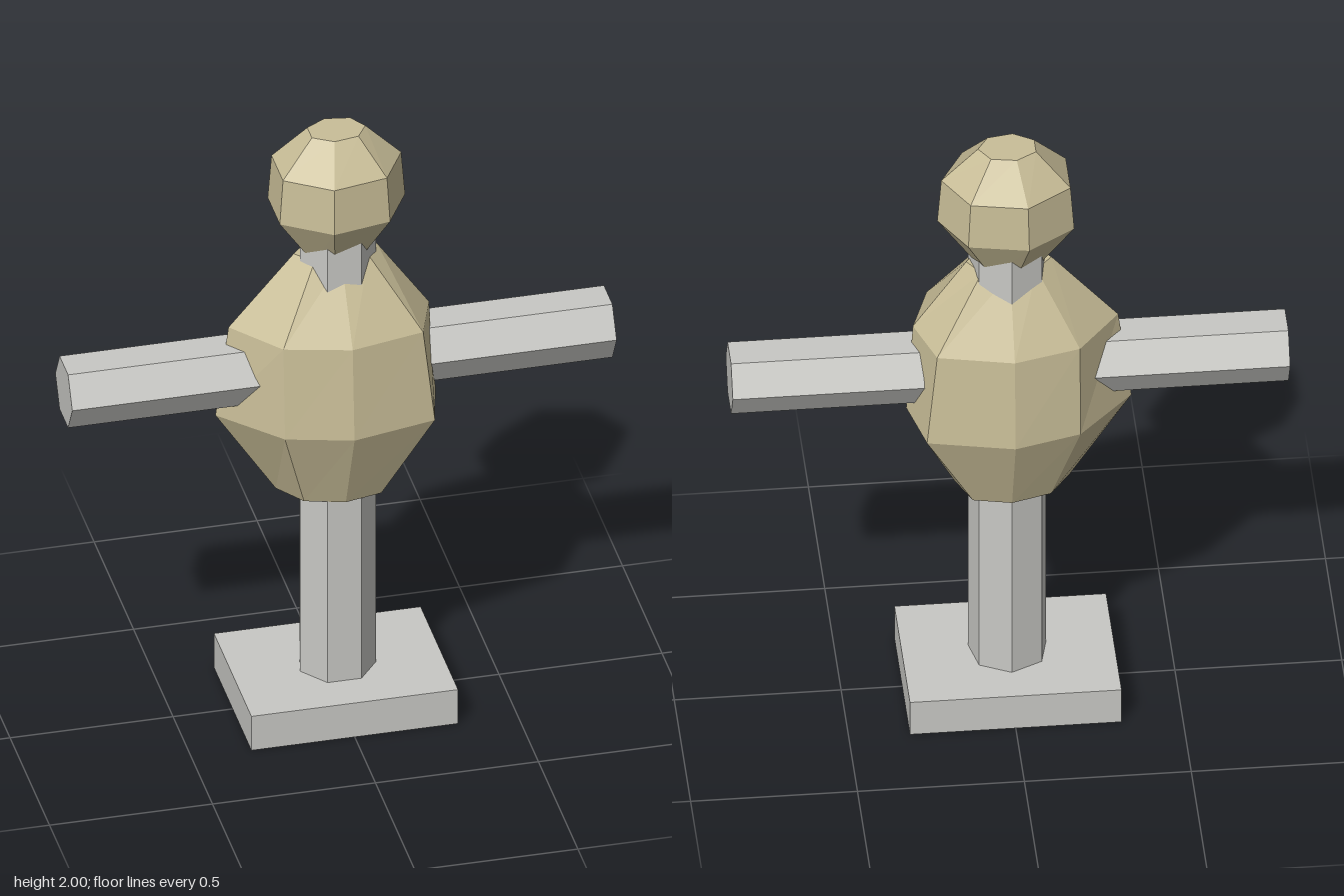
import * as THREE from 'three';

// Faceted solid through stacked rings; each ring is { y, pts: [[x, z], ...] } turning from +x to +z.
function loft(rings) {
  const pos = [];
  const n = rings[0].pts.length;
  const at = (r, i) => [r.pts[i % n][0], r.y, r.pts[i % n][1]];
  const tri = (a, b, c) => pos.push(...a, ...b, ...c);
  for (let k = 0; k < rings.length - 1; k++) {
    for (let i = 0; i < n; i++) {
      const a = at(rings[k], i), b = at(rings[k], i + 1);
      const c = at(rings[k + 1], i), d = at(rings[k + 1], i + 1);
      tri(a, c, b);
      tri(b, c, d);
    }
  }
  const bottom = rings[0], top = rings[rings.length - 1];
  for (let i = 1; i < n - 1; i++) {
    tri(at(bottom, 0), at(bottom, i), at(bottom, i + 1));
    tri(at(top, 0), at(top, i + 1), at(top, i));
  }
  const g = new THREE.BufferGeometry();
  g.setAttribute('position', new THREE.Float32BufferAttribute(pos, 3));
  g.computeVertexNormals();
  return g;
}

// Eight-sided ring from its half outline, mirrored front to back.
function mirroredRing(y, half) {
  const back = half.slice(1, -1).reverse().map(([x, z]) => [x, -z]);
  return { y, pts: [...half, ...back] };
}

// Seven-sided ring with one corner on +x.
function sevenRing(y, rx, rz) {
  const pts = [];
  for (let i = 0; i < 7; i++) {
    const a = (i / 7) * Math.PI * 2;
    pts.push([Math.cos(a) * rx, Math.sin(a) * rz]);
  }
  return { y, pts };
}

export function createModel() {
  const group = new THREE.Group();
  const straw = new THREE.MeshStandardMaterial({ color: 0xc9be98 });
  const grey = new THREE.MeshStandardMaterial({ color: 0xc8c8c4 });
  straw.name = 'straw';
  grey.name = 'paleGrey';
  straw.flatShading = grey.flatShading = true;

  const add = (name, geometry, material, x = 0, y = 0, z = 0) => {
    const mesh = new THREE.Mesh(geometry, material);
    mesh.name = name;
    mesh.position.set(x, y, z);
    group.add(mesh);
    return mesh;
  };

  // Base slab and seven-sided post
  add('base', new THREE.BoxGeometry(0.634, 0.12, 0.475), grey, 0, 0.06, 0);
  add('post', new THREE.CylinderGeometry(0.12, 0.12, 1.58, 7, 1, false, Math.PI), grey, 0, 0.89, 0);

  // Six-sided crossbar forming both arms
  const bar = new THREE.CylinderGeometry(0.108, 0.108, 1.67, 6);
  bar.rotateZ(Math.PI / 2);
  add('crossbar', bar, grey, 0, 1.197, 0);

  // Stuffed body, swollen to the right side
  add('body', loft([
    mirroredRing(0.76, [[0.16, 0], [0.115, 0.1], [0, 0.125], [-0.12, 0.09], [-0.185, 0]]),
    mirroredRing(1.045, [[0.305, 0], [0.26, 0.18], [0, 0.235], [-0.2, 0.18], [-0.37, 0]]),
    mirroredRing(1.35, [[0.285, 0], [0.228, 0.163], [0, 0.212], [-0.2, 0.16], [-0.33, 0]]),
    mirroredRing(1.58, [[0.125, 0], [0.085, 0.06], [0, 0.072], [-0.08, 0.058], [-0.13, 0]]),
  ]), straw);

  // Seven-sided head tapering into the neck
  add('head', loft([
    sevenRing(1.56, 0.085, 0.07),
    sevenRing(1.74, 0.212, 0.178),
    sevenRing(1.89, 0.2, 0.168),
    sevenRing(2.0, 0.09, 0.068),
  ]), straw);

  return group;
}
